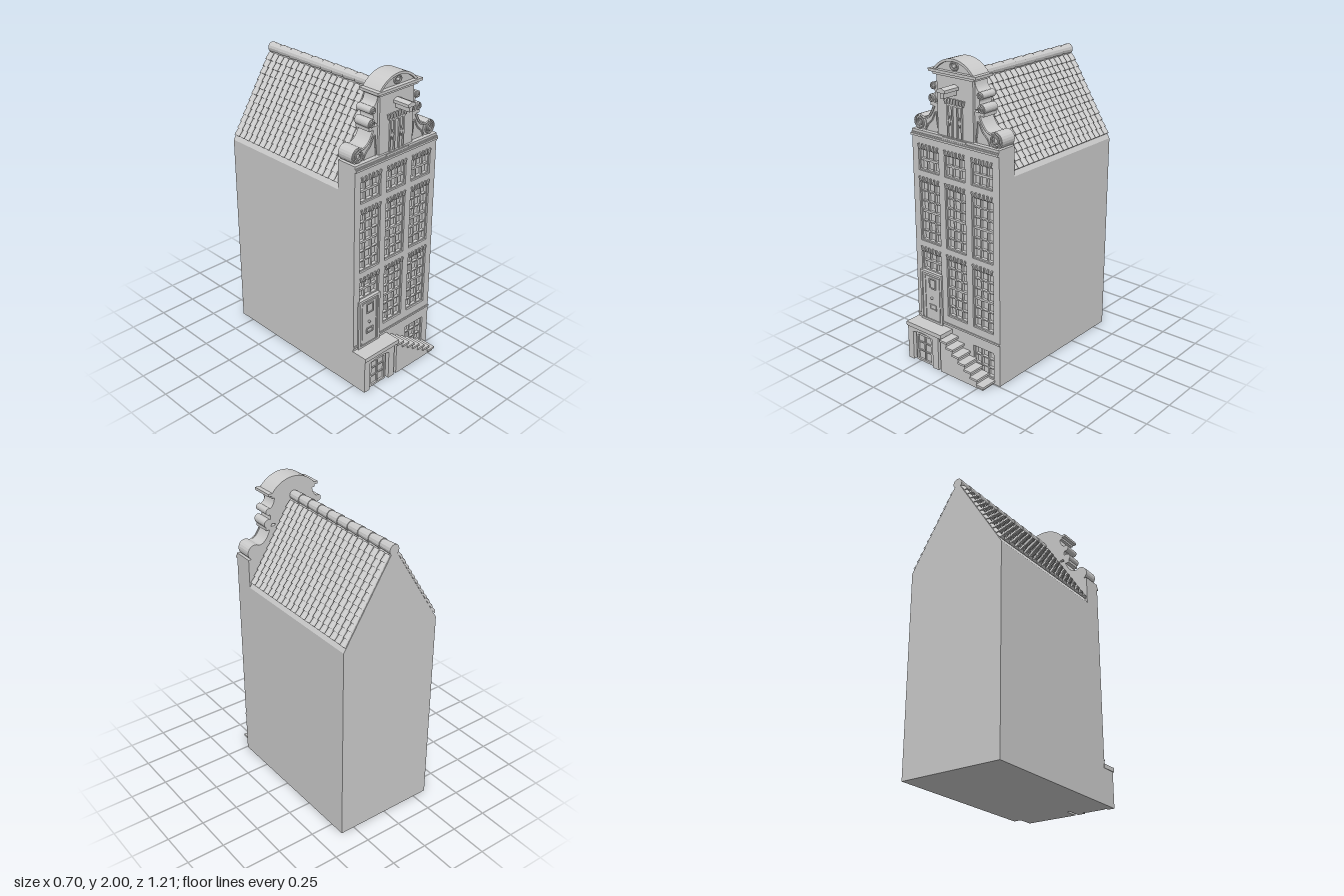
import * as THREE from 'three';
import { mergeGeometries } from 'three/addons/utils/BufferGeometryUtils.js';

const mat = new THREE.MeshStandardMaterial({ color: 0xcccccc, flatShading: true });
const FACE = 0.495;   // front of the brick wall
const GABLE_BACK = 0.36;
const BACK = -0.605;
const W = 0.345;      // half width

export function createModel() {
  const model = new THREE.Group();
  model.name = 'canalHouse';

  const add = (name, geo, parent = model) => {
    const m = new THREE.Mesh(geo, mat);
    m.name = name;
    parent.add(m);
    return m;
  };
  const group = (name) => {
    const g = new THREE.Group();
    g.name = name;
    model.add(g);
    return g;
  };
  // box given by its limits
  const box = (x0, x1, y0, y1, z0, z1) =>
    new THREE.BoxGeometry(x1 - x0, y1 - y0, z1 - z0).translate((x0 + x1) / 2, (y0 + y1) / 2, (z0 + z1) / 2);
  const shapeOf = (pts) => new THREE.Shape(pts.map(([x, y]) => new THREE.Vector2(x, y)));
  const slab = (shape, z0, z1) =>
    new THREE.ExtrudeGeometry(shape, { depth: z1 - z0, bevelEnabled: false, curveSegments: 14 }).translate(0, 0, z0);
  // flat rectangular frame
  const frame = (x0, x1, y0, y1, t, z0, z1) => mergeGeometries([
    box(x0, x0 + t, y0, y1, z0, z1), box(x1 - t, x1, y0, y1, z0, z1),
    box(x0 + t, x1 - t, y0, y0 + t, z0, z1), box(x0 + t, x1 - t, y1 - t, y1, z0, z1)]);

  // House body: pitched main volume and the thick front wall
  const eave = 1.34, apex = 1.89;
  add('body', slab(shapeOf([[-W, 0], [W, 0], [W, eave], [0, apex], [-W, eave]]), BACK, GABLE_BACK));
  add('frontWallCore', box(-W, W, 0, 1.53, GABLE_BACK, 0.462));

  // Windows: [x0, x1, y0, y1, rows of panes]
  const columns = [[-0.297, -0.13], [-0.083, 0.081], [0.13, 0.295]];
  const windows = [];
  columns.forEach(([a, b], i) => {
    windows.push([a, b, 1.275, 1.415, 2], [a, b, 0.81, 1.205, 6]);
    windows.push(i === 0 ? [a, b, 0.61, 0.74, 2] : [a, b, 0.345, 0.74, 6]);
  });
  const cellarWindow = [0.13, 0.295, 0.03, 0.215, 3];
  const wall = shapeOf([[-W, 0], [W, 0], [W, 1.53], [-W, 1.53]]);
  [...windows, cellarWindow].forEach(([a, b, c, d]) => {
    wall.holes.push(new THREE.Path([[a, c], [a, d], [b, d], [b, c]].map((p) => new THREE.Vector2(...p))));
  });
  add('facade', slab(wall, 0.462, FACE));

  // Fan of projecting bricks over an opening
  const lintel = (x0, x1, y, h, z, n = 6) => {
    const parts = [];
    for (let i = 0; i < n; i++) {
      const t = (i / (n - 1)) * 2 - 1;
      parts.push(box(-0.005, 0.005, 0, h, -0.005, 0.01)
        .rotateZ(-t * 0.25)
        .translate((x0 + x1) / 2 + t * ((x1 - x0) / 2 - 0.014), y, z));
    }
    return mergeGeometries(parts);
  };

  const glazing = group('windows');
  [...windows, cellarWindow].forEach((w) => {
    const [x0, x1, y0, y1, rows] = w;
    const bars = [frame(x0, x1, y0, y1, 0.009, 0.46, 0.484)];
    for (let i = 1; i < 3; i++) {
      const x = x0 + ((x1 - x0) * i) / 3;
      bars.push(box(x - 0.004, x + 0.004, y0, y1, 0.46, 0.479));
    }
    for (let j = 1; j < rows; j++) {
      const y = y0 + ((y1 - y0) * j) / rows;
      const t = j * 2 === rows ? 0.007 : 0.004;
      bars.push(box(x0, x1, y - t, y + t, 0.46, 0.48));
    }
    add('windowBars', mergeGeometries(bars), glazing);
    if (w !== cellarWindow) add('lintel', lintel(x0, x1, y1, 0.033, FACE), glazing);
  });

  // String courses
  add('plinthCourse', mergeGeometries([
    box(-W, -0.31, 0.283, 0.295, 0.48, 0.502), box(-0.125, W, 0.283, 0.295, 0.48, 0.502)]));
  add('gableCornice', mergeGeometries([
    box(-W, W, 1.493, 1.506, 0.47, 0.508), box(-W, W, 1.506, 1.514, 0.47, 0.502)]));

  // Front door
  const door = group('frontDoor');
  add('doorSurround', frame(-0.31, -0.125, 0.26, 0.61, 0.016, 0.48, 0.506), door);
  add('doorLeaf', box(-0.296, -0.139, 0.26, 0.596, 0.48, 0.499), door);
  add('doorFrame', frame(-0.275, -0.148, 0.262, 0.58, 0.006, 0.49, 0.503), door);
  add('upperPanel', frame(-0.237, -0.179, 0.495, 0.565, 0.007, 0.49, 0.505), door);
  add('letterPanel', frame(-0.237, -0.179, 0.347, 0.385, 0.007, 0.49, 0.505), door);
  add('doorKnob', new THREE.SphereGeometry(0.009, 10, 8).translate(-0.215, 0.43, 0.503), door);

  // Stoop with a cellar entrance below the landing, and a flight of steps
  const stoop = group('stoop');
  const base = shapeOf([[-W, 0], [-0.3, 0], [-0.3, 0.2]]);
  base.quadraticCurveTo(-0.215, 0.228, -0.13, 0.2);
  [[-0.13, 0], [-0.08, 0], [-0.08, 0.24], [-W, 0.24]].forEach((p) => base.lineTo(...p));
  add('landingBase', slab(base, 0.49, 0.597), stoop);
  add('landingSlab', box(-0.349, -0.05, 0.235, 0.263, 0.49, 0.605), stoop);
  add('cellarDoor', box(-0.305, -0.125, 0, 0.22, 0.49, 0.57), stoop);
  const cellarBars = [frame(-0.285, -0.145, 0, 0.2, 0.014, 0.565, 0.582), box(-0.219, -0.211, 0, 0.2, 0.565, 0.579)];
  for (const y of [0.07, 0.13]) cellarBars.push(box(-0.28, -0.15, y, y + 0.008, 0.565, 0.578));
  add('cellarDoorBars', mergeGeometries(cellarBars), stoop);
  for (let i = 1; i <= 7; i++) {
    const x = -0.05 + 0.0505 * i, y = 0.263 - 0.0335 * i;
    add('tread', box(x - 0.06, x, y - 0.014, y, 0.49, 0.605), stoop);
    add('riser', box(x - 0.0605, x - 0.01, 0, y - 0.014, 0.49, 0.597), stoop);
  }

  // Gable: central neck, side scrolls, cornice and arched top
  const gable = group('gable');
  add('neck', box(-0.14, 0.14, 1.5, 1.905, GABLE_BACK, 0.481), gable);
  const spiral = (x, y, r, turns, dir) => {
    const pts = [];
    for (let i = 0; i <= 28; i++) {
      const t = i / 28, a = Math.PI / 2 + dir * t * turns * Math.PI * 2, q = r * (1 - 0.8 * t);
      pts.push(new THREE.Vector3(x + Math.cos(a) * q, y + Math.sin(a) * q, 0.474));
    }
    return new THREE.TubeGeometry(new THREE.CatmullRomCurve3(pts), 50, 0.006, 6);
  };
  const drum = (x, y, r, z1) => new THREE.CylinderGeometry(r, r, z1 - GABLE_BACK, 20)
    .rotateX(Math.PI / 2).translate(x, y, (z1 + GABLE_BACK) / 2);
  for (const s of [1, -1]) {
    const side = new THREE.Group();
    side.name = s > 0 ? 'leftScrolls' : 'rightScrolls';
    gable.add(side);
    const wing = shapeOf([[s * 0.13, 1.5], [s * 0.3, 1.5], [s * 0.3, 1.6], [s * 0.275, 1.612]]);
    wing.quadraticCurveTo(s * 0.215, 1.6, s * 0.18, 1.7);
    wing.lineTo(s * 0.13, 1.72);
    add('wing', slab(wing, GABLE_BACK, 0.466), side);
    add('lowerScroll', drum(s * 0.297, 1.572, 0.05, 0.47), side);
    add('lowerVolute', spiral(s * 0.297, 1.572, 0.044, 2, -s), side);
    const sweep = new THREE.CatmullRomCurve3([[0.293, 1.616], [0.262, 1.603], [0.225, 1.62], [0.2, 1.65], [0.178, 1.695]]
      .map(([x, y]) => new THREE.Vector3(s * x, y, 0.468)));
    add('wingMoulding', new THREE.TubeGeometry(sweep, 20, 0.008, 6), side);
    const inner = new THREE.CatmullRomCurve3([[0.25, 1.53], [0.232, 1.57], [0.2, 1.6], [0.165, 1.66], [0.158, 1.6], [0.155, 1.53]]
      .map(([x, y]) => new THREE.Vector3(s * x, y, 0.466)), true);
    add('wingPanel', new THREE.TubeGeometry(inner, 36, 0.005, 5, true), side);
    add('middleLedge', box(Math.min(s * 0.13, s * 0.21), Math.max(s * 0.13, s * 0.21), 1.692, 1.712, GABLE_BACK, 0.468), side);
    add('middleScroll', drum(s * 0.192, 1.735, 0.028, 0.47), side);
    add('middleVolute', spiral(s * 0.192, 1.735, 0.022, 1.5, -s), side);
    add('upperScroll', drum(s * 0.185, 1.812, 0.022, 0.47), side);
    add('upperVolute', spiral(s * 0.185, 1.812, 0.017, 1.3, s), side);
    const link = shapeOf([[s * 0.13, 1.72], [s * 0.19, 1.74]]);
    link.quadraticCurveTo(s * 0.155, 1.775, s * 0.19, 1.8);
    link.lineTo(s * 0.18, 1.83);
    link.quadraticCurveTo(s * 0.145, 1.84, s * 0.14, 1.9);
    link.lineTo(s * 0.13, 1.9);
    add('upperWing', slab(link, GABLE_BACK, 0.464), side);
  }
  add('capCornice', mergeGeometries([
    box(-0.184, 0.184, 1.908, 1.925, GABLE_BACK, 0.507), box(-0.16, 0.16, 1.892, 1.908, GABLE_BACK, 0.494)]), gable);
  const R = 0.1977, cy = 1.8023, half = 0.901;
  const arch = new THREE.Shape();
  arch.absarc(0, cy, R, Math.PI / 2 - half, Math.PI / 2 + half, false);
  add('archTop', slab(arch, GABLE_BACK, 0.48), gable);
  const rim = new THREE.Shape();
  rim.absarc(0, cy, R, Math.PI / 2 - half, Math.PI / 2 + half, false);
  rim.absarc(0, cy, R - 0.015, Math.PI / 2 + half, Math.PI / 2 - half, true);
  add('archRim', slab(rim, 0.47, 0.494), gable);
  add('ovalRing', new THREE.TorusGeometry(0.026, 0.006, 6, 20).scale(1.1, 0.85, 1).translate(0, 1.955, 0.481), gable);
  add('ovalBoss', new THREE.SphereGeometry(0.014, 10, 6).scale(1.1, 0.8, 0.7).translate(0, 1.955, 0.481), gable);

  // Attic hatch with shutters, lintel and sill
  const hatch = group('atticHatch');
  for (const x of [-0.055, -0.02, 0.02, 0.055]) add('hatchPost', box(x - 0.005, x + 0.005, 1.525, 1.73, 0.475, 0.49), hatch);
  add('hatchLintel', lintel(-0.08, 0.08, 1.73, 0.035, 0.485, 7), hatch);
  add('hatchHead', box(-0.062, 0.062, 1.72, 1.732, 0.475, 0.491), hatch);
  add('hatchSill', box(-0.095, 0.095, 1.514, 1.527, 0.475, 0.5), hatch);
  for (const x of [-0.038, 0.038]) {
    add('shutterDiamond', new THREE.CylinderGeometry(0.02, 0.02, 0.012, 4).rotateX(Math.PI / 2)
      .scale(0.55, 1.5, 1).translate(x, 1.63, 0.483), hatch);
  }

  // Hoist beam with a peaked little cover
  const hoist = group('hoistBeam');
  add('beam', box(-0.013, 0.013, 1.79, 1.83, 0.47, 0.588), hoist);
  add('beamCover', slab(shapeOf([[-0.03, 1.822], [0.03, 1.822], [0.03, 1.84], [0, 1.852], [-0.03, 1.84]]), 0.47, 0.596), hoist);

  // Roof tiles: overlapping half-round tiles laid in rows along the slope
  const depth = GABLE_BACK - BACK, cols = 20, rows = 12;
  const pitch = depth / cols, slope = Math.atan(W / (apex - eave));
  const xTop = 0.025, xLow = 0.326;
  const step = (xLow - xTop) / rows;
  const length = step / Math.sin(slope);
  const tiles = [];
  for (let r = 0; r < rows; r++) {
    const x = xTop + step * (r + 0.5);
    const y = apex - x * (apex - eave) / W;
    for (let c = 0; c < cols; c++) {
      tiles.push(new THREE.CylinderGeometry(0.019, 0.0245, length * 1.1, 7, 1, false, 0, Math.PI)
        .scale(0.85, 1, 1).rotateZ(slope + 0.07)
        .translate(x + 0.002, y + 0.001, (c + 0.5) * pitch - depth / 2));
    }
  }
  const slopeTiles = mergeGeometries(tiles);
  const roof = group('roof');
  roof.position.z = (GABLE_BACK + BACK) / 2;
  add('leftTiles', slopeTiles, roof);
  add('rightTiles', slopeTiles, roof).rotation.y = Math.PI;
  // Ridge caps, each slightly tapered
  const cap = depth / 10;
  for (let i = 0; i < 10; i++) {
    add('ridgeTile', new THREE.CylinderGeometry(0.029, 0.034, cap, 12).rotateX(Math.PI / 2)
      .translate(0, 1.881, (i + 0.5) * cap - depth / 2), roof);
  }
  return model;
}
